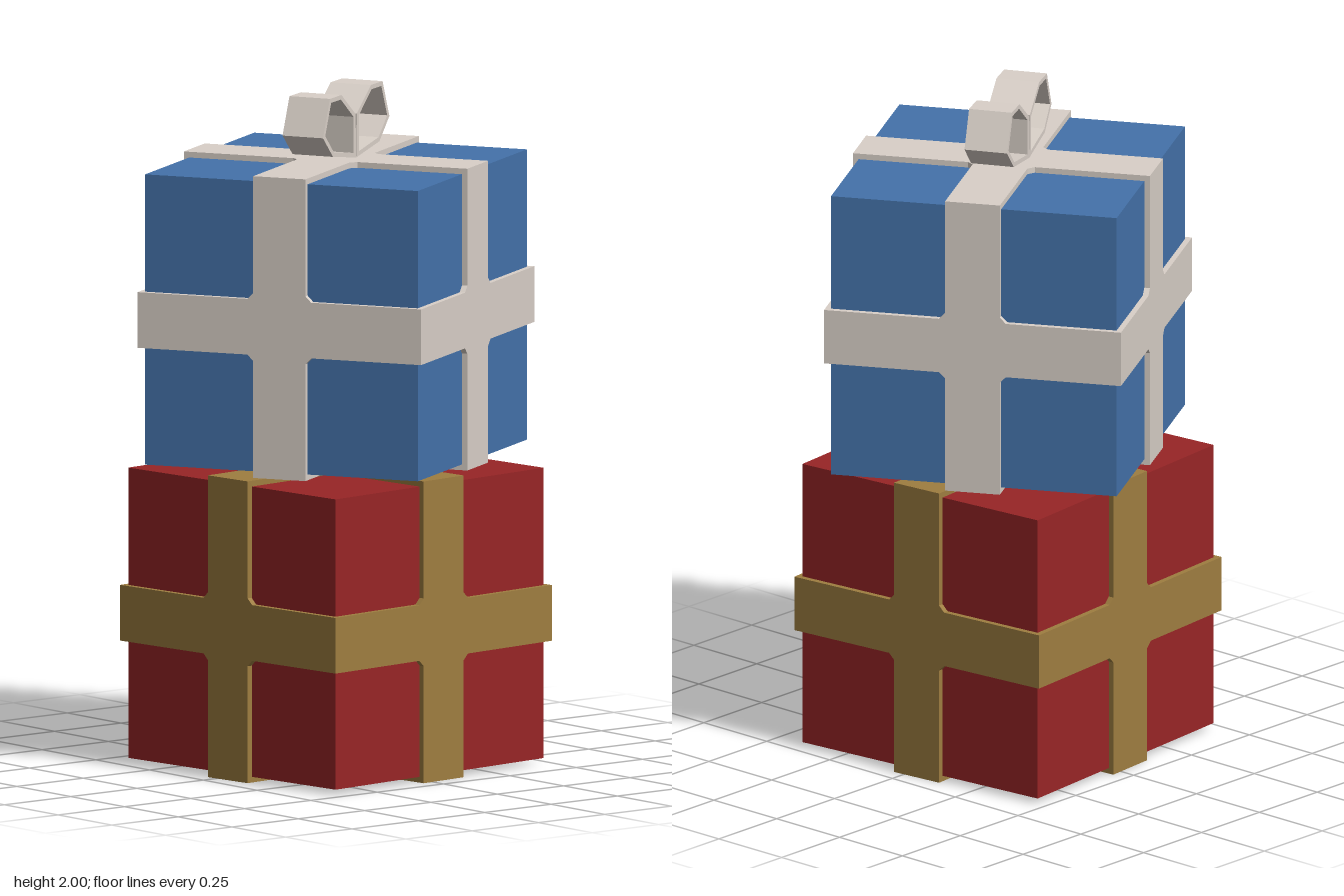
import * as THREE from 'three';

const mat = (name, color) => {
  const m = new THREE.MeshStandardMaterial({ color });
  m.name = name;
  return m;
};

const BOX = 0.86, RIBBON = 0.894, BAND = 0.165, CHAMFER = 0.018;

function add(parent, name, geometry, material) {
  const mesh = new THREE.Mesh(geometry, material);
  mesh.name = name;
  parent.add(mesh);
  return mesh;
}

function polygon(points) {
  return new THREE.Shape(points.map(([x, y]) => new THREE.Vector2(x, y)));
}

function extrudeCentred(shape, depth) {
  const g = new THREE.ExtrudeGeometry(shape, { depth, bevelEnabled: false });
  return g.translate(0, 0, -depth / 2);
}

// Plus-shaped prism with small chamfers in its inner corners
function crossGeometry() {
  const h = RIBBON / 2, w = BAND / 2, c = w + CHAMFER;
  const arm = [[h, -w], [h, w], [c, w], [w, c]];
  const pts = [];
  for (let i = 0; i < 4; i++) {
    const cos = Math.round(Math.cos(i * Math.PI / 2)), sin = Math.round(Math.sin(i * Math.PI / 2));
    for (const [x, y] of arm) pts.push([x * cos - y * sin, x * sin + y * cos]);
    }
  // each arm starts where the previous chamfer ends
  const full = [];
  pts.forEach((p, i) => {
    full.push(p);
  });
  return extrudeCentred(polygon(full), RIBBON);
}

// Box wrapped with bands around all three axes
function createGift(name, boxMaterial, ribbonMaterial) {
  const gift = new THREE.Group();
  gift.name = name;
  add(gift, 'box', new THREE.BoxGeometry(BOX, BOX, BOX), boxMaterial);
  const cross = crossGeometry();
  add(gift, 'ribbonFrontBack', cross, ribbonMaterial);
  add(gift, 'ribbonTopBottom', cross, ribbonMaterial).rotation.x = Math.PI / 2;
  add(gift, 'ribbonSides', cross, ribbonMaterial).rotation.y = Math.PI / 2;
  return gift;
}

// Two angular ribbon loops
function createBow(material) {
  const bow = new THREE.Group();
  bow.name = 'bow';
  const outer = [[0, 0], [0.165, 0.025], [0.236, 0.09], [0.187, 0.2], [0.105, 0.2], [0.005, 0.13]];
  const inner = [[0.018, 0.016], [0.159, 0.038], [0.22, 0.094], [0.178, 0.187], [0.109, 0.187], [0.019, 0.123]];
  const shape = polygon(outer);
  shape.holes.push(new THREE.Path(inner.map(([x, y]) => new THREE.Vector2(x, y))));
  const loop = extrudeCentred(shape, 0.13);
  for (const side of [1, -1]) {
    add(bow, side > 0 ? 'frontLoop' : 'backLoop', loop, material).rotation.y = -side * Math.PI / 2;
  }
  return bow;
}

export function createModel() {
  const model = new THREE.Group();
  model.name = 'giftStack';
  const red = mat('red paper', 0x982526);
  const gold = mat('gold ribbon', 0x9e7d40);
  const blue = mat('blue paper', 0x4472aa);
  const silver = mat('silver ribbon', 0xd9d0c8);

  const lower = createGift('lowerGift', red, gold);
  lower.position.y = 0.447;
  lower.rotation.y = 0.102;

  const upper = createGift('upperGift', blue, silver);
  upper.position.y = 1.353;
  upper.rotation.y = 0.509;

  const bow = createBow(silver);
  bow.position.y = 1.8;
  bow.rotation.y = 0.465;

  model.add(lower, upper, bow);
  return model;
}
